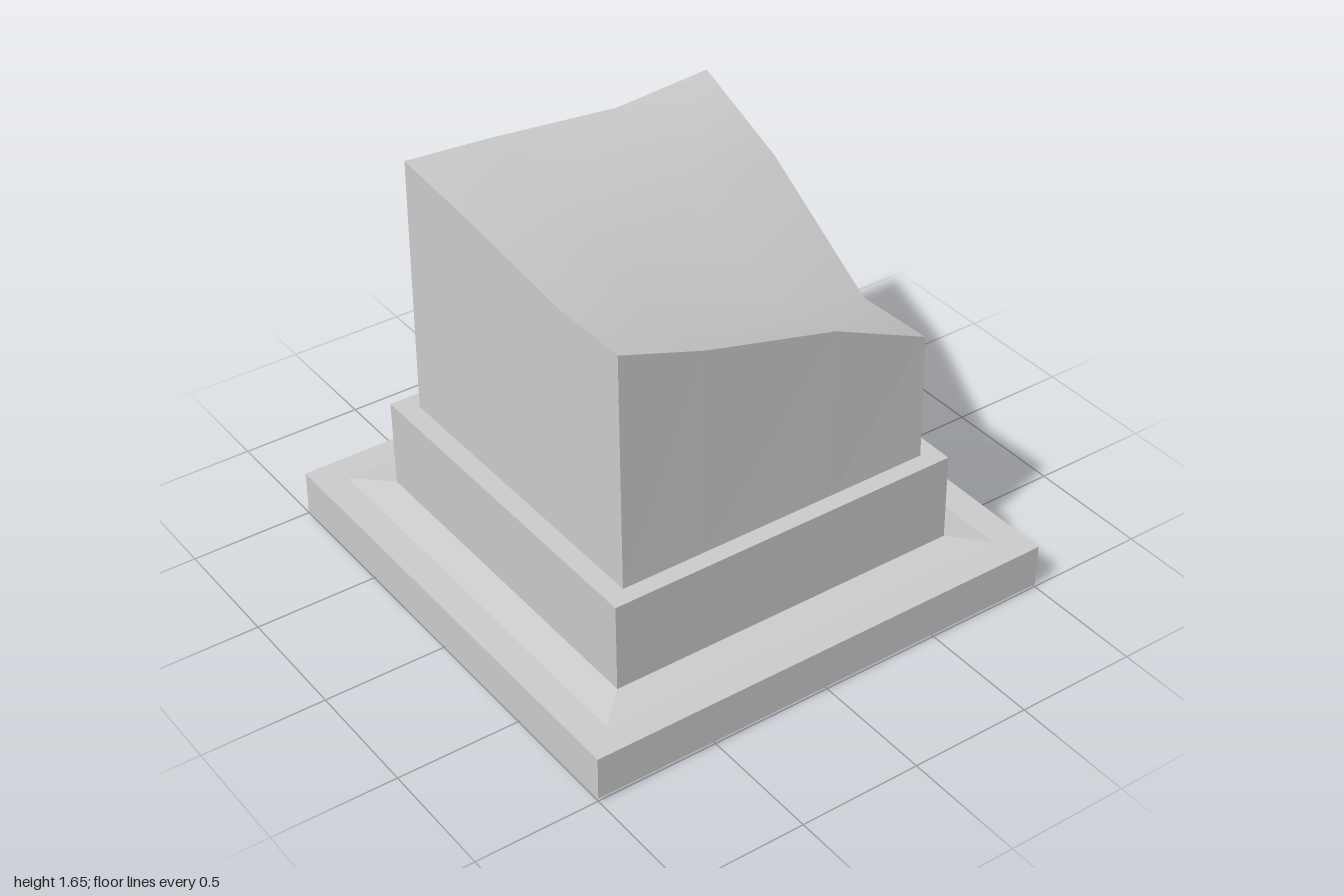
import * as THREE from 'three';

const stone = new THREE.MeshStandardMaterial({ color: 0xcccccc, flatShading: true });
const smoothStone = new THREE.MeshStandardMaterial({ color: 0xcccccc });

function meshFrom(name, points, index, material) {
  const geometry = new THREE.BufferGeometry();
  geometry.setAttribute('position', new THREE.Float32BufferAttribute(points.flat(), 3));
  geometry.setIndex(index);
  geometry.computeVertexNormals();
  const mesh = new THREE.Mesh(geometry, material);
  mesh.name = name;
  return mesh;
}

// Closed block from rectangular rings [x0, x1, z0, z1, y], bottom to top.
function loftBlock(name, rings) {
  const points = rings.flatMap(([x0, x1, z0, z1, y]) =>
    [[x0, y, z1], [x1, y, z1], [x1, y, z0], [x0, y, z0]]);
  const index = [0, 2, 1, 0, 3, 2];
  for (let r = 0; r < rings.length - 1; r++) {
    for (let i = 0; i < 4; i++) {
      const a = r * 4 + i, b = r * 4 + (i + 1) % 4;
      index.push(a, b, b + 4, a, b + 4, a + 4);
    }
  }
  const t = (rings.length - 1) * 4;
  index.push(t, t + 1, t + 2, t, t + 2, t + 3);
  return meshFrom(name, points, index, stone);
}

export function createModel() {
  const group = new THREE.Group();
  group.name = 'brokenPillar';

  // Square plinth with a shallow sloping top
  group.add(loftBlock('plinth', [
    [-0.88, 0.88, -0.88, 0.88, 0],
    [-1, 1, -1, 1, 0.012],
    [-1, 1, -1, 1, 0.19],
    [-0.88, 0.88, -0.88, 0.88, 0.19],
    [-0.755, 0.735, -0.72, 0.765, 0.215],
  ]));

  // Slightly flared middle block
  group.add(loftBlock('middleBlock', [
    [-0.755, 0.735, -0.72, 0.765, 0.215],
    [-0.765, 0.72, -0.71, 0.775, 0.59],
  ]));

  // Broken top: heights on a 4 x 4 grid, rows from back to front
  const xs = [-0.685, -0.33, 0.23, 0.645];
  const zs = [-0.63, -0.2, 0.345, 0.69];
  const heights = [
    [1.655, 1.63, 1.575, 1.605],
    [1.615, 1.56, 1.475, 1.43],
    [1.548, 1.45, 1.22, 1.09],
    [1.55, 1.43, 1.29, 1.105],
  ];
  const top = zs.map((z, j) => xs.map((x, i) => [x, heights[j][i], z]));
  const topIndex = [];
  for (let j = 0; j < 3; j++) {
    for (let i = 0; i < 3; i++) {
      const a = j * 4 + i;
      topIndex.push(a, a + 4, a + 1, a + 1, a + 4, a + 5);
    }
  }
  group.add(meshFrom('brokenTop', top.flat(), topIndex, smoothStone));

  // Shaft walls drop from the broken rim; the front wall leans back a little
  const sides = {
    frontWall: top[3],
    rightWall: top.map((row) => row[3]).reverse(),
    backWall: [...top[0]].reverse(),
    leftWall: top.map((row) => row[0]),
  };
  for (const [name, rim] of Object.entries(sides)) {
    const foot = rim.map(([x, , z]) => [x, 0.59, z === 0.69 ? 0.705 : z]);
    const index = [];
    for (let i = 0; i < 3; i++) index.push(i + 4, i + 5, i + 1, i + 4, i + 1, i);
    group.add(meshFrom(name, [...rim, ...foot], index, stone));
  }
  return group;
}
